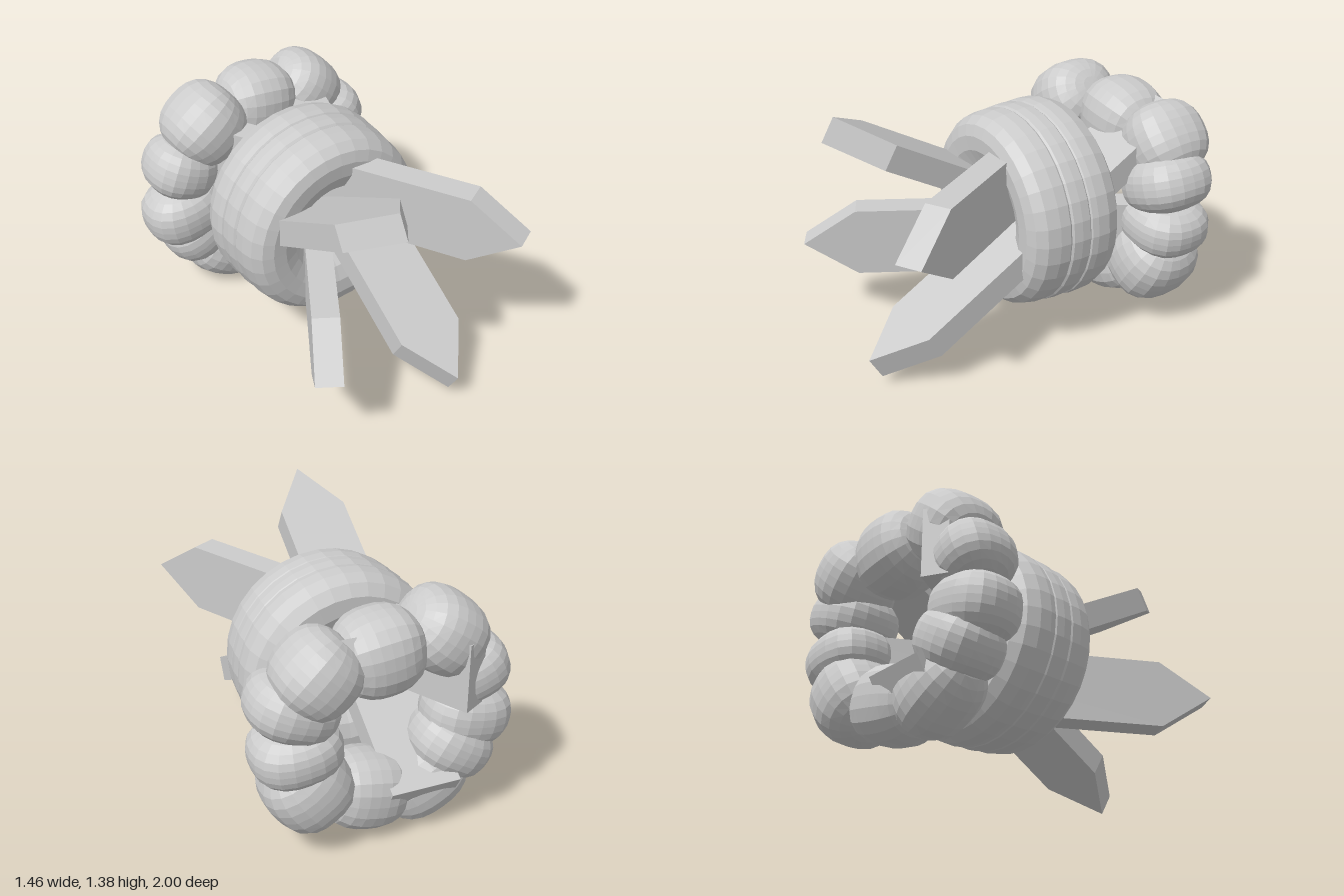
import * as THREE from 'three';

const mat = new THREE.MeshStandardMaterial({ color: 0xcccccc, flatShading: true });
const CX = 0.03, CY = 0.72; // axis shared by the ring and the planks

function add(parent, geometry, name) {
  const mesh = new THREE.Mesh(geometry, mat);
  mesh.name = name;
  parent.add(mesh);
  return mesh;
}

// Sphere pushed slightly towards a rounded box, then scaled to half sizes
function lobeGeometry(a, b, c) {
  const g = new THREE.SphereGeometry(1, 20, 14);
  const p = g.attributes.position;
  const e = 2.5;
  for (let i = 0; i < p.count; i++) {
    const x = p.getX(i), y = p.getY(i), z = p.getZ(i);
    const n = Math.pow(Math.abs(x) ** e + Math.abs(y) ** e + Math.abs(z) ** e, 1 / e);
    p.setXYZ(i, x / n * a, y / n * b, z / n * c);
  }
  g.computeVertexNormals();
  return g;
}

// Thick ring with three bands around its outside
function makeRing() {
  const profile = [
    [0.19, -0.2], [0.23, -0.29], [0.3, -0.355], [0.38, -0.38], [0.47, -0.375], [0.53, -0.33],
    [0.558, -0.26], [0.561, -0.19], [0.555, -0.155], [0.547, -0.148], [0.553, -0.14], [0.556, -0.09],
    [0.551, -0.04], [0.541, -0.03], [0.546, -0.02], [0.545, 0.04], [0.53, 0.11], [0.49, 0.16],
    [0.43, 0.18], [0.35, 0.175], [0.27, 0.14], [0.21, 0.07], [0.185, -0.02], [0.18, -0.11], [0.19, -0.2],
  ].map(([r, z]) => new THREE.Vector2(r, z));
  const g = new THREE.LatheGeometry(profile, 32);
  g.rotateX(Math.PI / 2);
  return g;
}

// Flat plank with a pointed front end and a square back end, running along local z
function makePlank() {
  const w = 0.1925, front = 1.21, back = -0.92, point = 0.29, t = 0.143;
  const s = new THREE.Shape();
  s.moveTo(back, -w);
  s.lineTo(front - point, -w);
  s.lineTo(front, 0);
  s.lineTo(front - point, w);
  s.lineTo(back, w);
  s.closePath();
  const g = new THREE.ExtrudeGeometry(s, { depth: t, bevelEnabled: false });
  g.translate(0, 0, -t / 2);
  g.rotateY(-Math.PI / 2); // length to +z
  g.rotateY(Math.PI / 6); // lean outwards to +x
  g.translate(0, w + 0.004, -0.083);
  return g;
}

export function createModel() {
  const model = new THREE.Group();
  model.name = 'ringWithPlanks';

  add(model, makeRing(), 'ring').position.set(CX, CY, 0);

  // Four planks crossing in the hole like a pinwheel
  const planks = new THREE.Group();
  planks.name = 'planks';
  planks.position.set(CX, CY, 0);
  const plank = makePlank();
  for (let i = 0; i < 4; i++) add(planks, plank, 'plank' + (i + 1)).rotation.z = i * Math.PI / 2;
  model.add(planks);

  // Wreath of lobes: x, y, z, then radial, tangential and depth half sizes
  const lobes = [
    [0.05, 1.085, -0.745, 0.22, 0.23, 0.215],
    [-0.325, 1.09, -0.675, 0.21, 0.225, 0.235],
    [-0.49, 0.86, -0.68, 0.2, 0.17, 0.21],
    [-0.49, 0.58, -0.67, 0.24, 0.18, 0.205],
    [-0.4, 0.42, -0.69, 0.23, 0.17, 0.21],
    [-0.24, 0.23, -0.68, 0.2, 0.25, 0.2],
    [0.09, 0.25, -0.69, 0.21, 0.25, 0.21],
    [0.42, 0.375, -0.705, 0.23, 0.235, 0.24],
    [0.48, 0.61, -0.725, 0.24, 0.16, 0.225],
    [0.49, 0.86, -0.715, 0.24, 0.165, 0.225],
    [0.385, 1.05, -0.775, 0.21, 0.215, 0.225],
  ];
  const wreath = new THREE.Group();
  wreath.name = 'wreath';
  lobes.forEach(([x, y, z, a, b, c], i) => {
    const lobe = add(wreath, lobeGeometry(a, b, c), 'lobe' + (i + 1));
    lobe.position.set(x, y, z);
    lobe.rotation.z = Math.atan2(y - 0.67, x);
  });
  model.add(wreath);

  return model;
}
